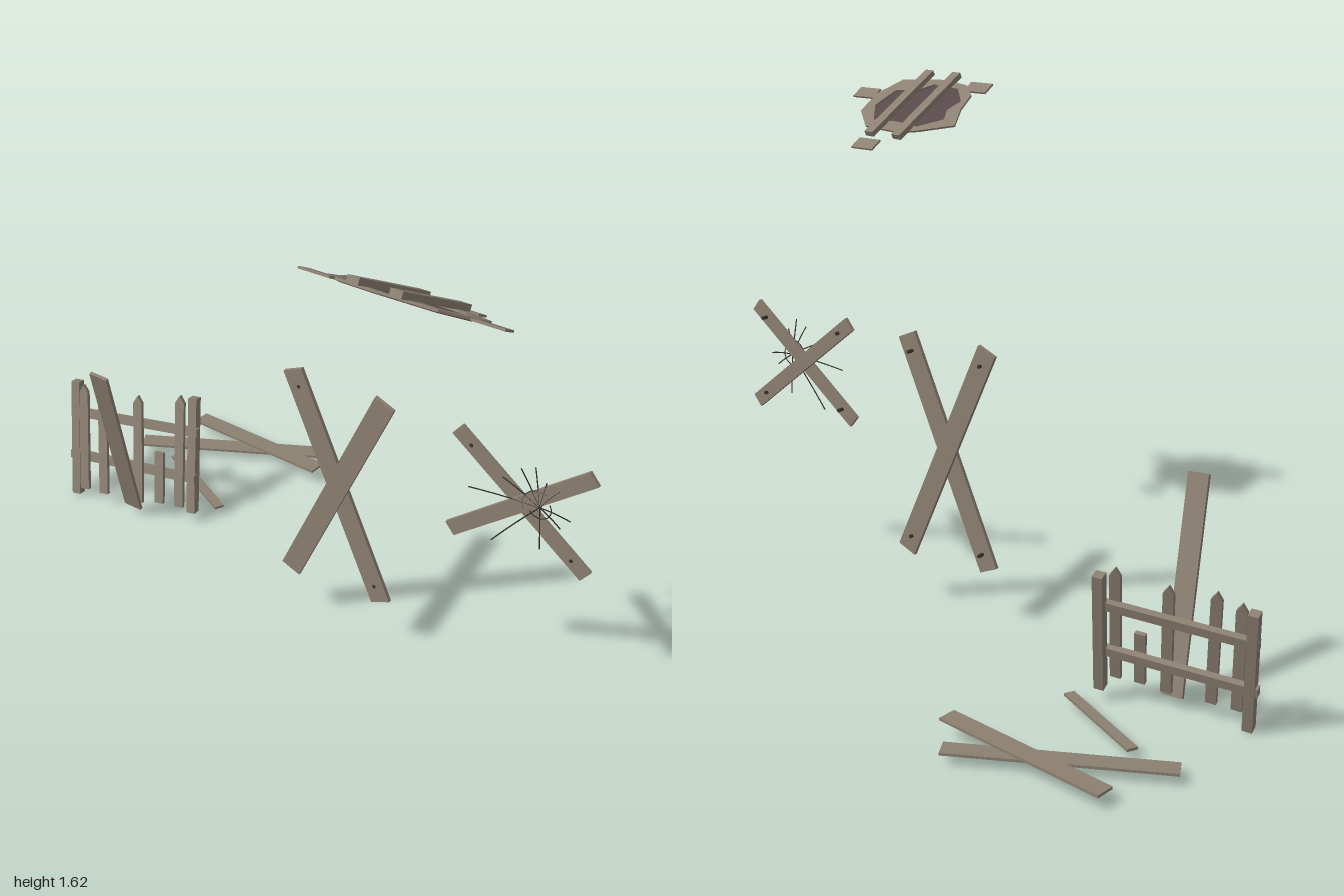
import * as THREE from 'three';

const mat = (name, color) => {
  const m = new THREE.MeshStandardMaterial({ color, side: THREE.DoubleSide });
  m.name = name;
  return m;
};

export function createModel() {
  const wood = mat('weathered wood', 0x8b8071);
  const hollow = mat('dark hollow', 0x584a4b);
  const iron = mat('dark iron', 0x38332f);
  const model = new THREE.Group();
  const V = (a) => new THREE.Vector3(...a);

  const group = (name) => {
    const g = new THREE.Group();
    g.name = name;
    model.add(g);
    return g;
  };

  // Board from point a to point b, its broad face turned towards "facing"; point > 0 cuts a pointed tip at b
  function board(parent, name, a, b, width, thick, facing, point = 0) {
    const p = V(a), q = V(b), len = p.distanceTo(q);
    const y = q.clone().sub(p).normalize();
    const x = y.clone().cross(V(facing)).normalize();
    const z = x.clone().cross(y);
    let geo;
    if (point) {
      const w = width / 2, h = len / 2;
      const s = new THREE.Shape([[-w, -h], [w, -h], [w, h - point], [0, h], [-w, h - point]]
        .map((c) => new THREE.Vector2(...c)));
      geo = new THREE.ExtrudeGeometry(s, { depth: thick, bevelEnabled: false }).translate(0, 0, -thick / 2);
    } else geo = new THREE.BoxGeometry(width, len, thick);
    geo.applyMatrix4(new THREE.Matrix4().makeBasis(x, y, z).setPosition(p.add(q).multiplyScalar(0.5)));
    const m = new THREE.Mesh(geo, wood);
    m.name = name;
    parent.add(m);
  }

  // Crossed boards with nails sticking out at the back
  function cross(name, x0, x1, y0, y1, width, inset) {
    const g = group(name);
    board(g, 'backBoard', [x0, y1, 0.084], [x1, y0, 0.084], width, 0.012, [0, 0, 1]);
    board(g, 'frontBoard', [x0, y0, 0.096], [x1, y1, 0.096], width, 0.012, [0, 0, 1]);
    for (const [tx, ty] of [[0, 0], [0, 1], [1, 0], [1, 1]]) {
      const fx = inset + tx * (1 - 2 * inset), fy = inset + ty * (1 - 2 * inset);
      const nail = new THREE.Mesh(new THREE.CylinderGeometry(0.006, 0.006, 0.022, 8).rotateX(Math.PI / 2), iron);
      nail.position.set(x0 + (x1 - x0) * fx, y0 + (y1 - y0) * fy, 0.08);
      nail.name = 'nail';
      g.add(nail);
    }
    return g;
  }
  cross('largeCross', 0.032, 0.346, 0.187, 0.897, 0.067, 0.07);
  const small = cross('smallCross', 0.57, 0.981, 0.565, 0.893, 0.046, 0.11);

  // Cobweb strands and two short arcs over the small cross
  const hub = new THREE.Vector3(0.835, 0.744, 0.101);
  const strand = (path, r) => {
    const m = new THREE.Mesh(new THREE.TubeGeometry(path, 12, r, 3), iron);
    m.name = 'webStrand';
    small.add(m);
  };
  for (const [x, y] of [[0.62, 0.728], [0.70, 0.58], [0.845, 0.61], [0.927, 0.735], [0.813, 0.867],
    [0.772, 0.848], [0.89, 0.82], [0.90, 0.70], [0.72, 0.80], [0.85, 0.83]]) {
    const end = new THREE.Vector3(x, y, 0.101);
    const mid = hub.clone().lerp(end, 0.5).add(new THREE.Vector3(0, 0.006, 0));
    strand(new THREE.QuadraticBezierCurve3(hub, mid, end), 0.0022);
  }
  for (const [r, from, to] of [[0.035, -2.6, 0.6], [0.052, 1.2, 3.6]]) {
    const pts = [];
    for (let i = 0; i <= 8; i++) {
      const t = from + (to - from) * i / 8;
      pts.push(new THREE.Vector3(hub.x + r * Math.cos(t), hub.y + r * Math.sin(t), 0.101));
    }
    strand(new THREE.CatmullRomCurve3(pts), 0.0018);
  }

  // Leaning fence: posts, rails behind, pointed pickets and a broken one
  const fence = group('fence');
  const n = [0.03, 0.048, 0.186];
  board(fence, 'leftPost', [-0.937, 0.01, -0.023], [-0.982, 0.402, -0.112], 0.03, 0.032, n);
  board(fence, 'rightPost', [-0.512, 0.045, -0.112], [-0.557, 0.434, -0.206], 0.03, 0.032, n);
  board(fence, 'upperRail', [-0.985, 0.297, -0.08], [-0.518, 0.33, -0.168], 0.028, 0.022, n);
  board(fence, 'lowerRail', [-0.975, 0.145, -0.05], [-0.505, 0.172, -0.128], 0.028, 0.022, n);
  for (const [bx, by, bz, tx, ty, tz, tip] of [
    [-0.893, 0.05, -0.012, -0.937, 0.41, -0.095, 0.025],
    [-0.818, 0.053, -0.022, -0.87, 0.432, -0.112, 0.025],
    [-0.688, 0.055, -0.045, -0.733, 0.42, -0.13, 0.025],
    [-0.614, 0.07, -0.065, -0.635, 0.243, -0.107, 0],
    [-0.543, 0.073, -0.08, -0.588, 0.45, -0.172, 0.025],
  ]) board(fence, 'picket', [bx, by, bz], [tx, ty, tz], 0.032, 0.014, n, tip);

  // Loose boards
  const loose = group('looseBoards');
  board(loose, 'leaningBoard', [-0.703, 0.04, -0.035], [-0.669, 0.653, 0.13], 0.066, 0.011, [0, -0.26, 0.96]);
  board(loose, 'longFloorBoard', [-0.92, 0.038, -0.366], [-0.355, 0.038, -0.65], 0.06, 0.008, [0, 1, 0]);
  board(loose, 'tiltedFloorBoard', [-0.83, 0.046, -0.588], [-0.286, 0.064, -0.535], 0.06, 0.008, [0, 1, 0]);
  board(loose, 'shortFloorBoard', [-0.766, 0.038, -0.352], [-0.457, 0.038, -0.19], 0.033, 0.008, [0, 1, 0]);

  // Sloping broken hole with a jagged rim, boarded over
  const roof = group('boardedHole');
  roof.position.set(0, 1.524, 0.5);
  roof.rotation.x = -0.513;
  const down = (z) => (z - 0.5) / 0.871;
  const outline = (pts) => pts.map(([x, z]) => new THREE.Vector2(x, down(z)));
  const rim = [[0.432, 0.447], [0.55, 0.408], [0.62, 0.392], [0.765, 0.404], [0.838, 0.468], [0.838, 0.553],
    [0.785, 0.628], [0.62, 0.644], [0.518, 0.628], [0.47, 0.587], [0.462, 0.52]];
  const inner = [[0.49, 0.468], [0.567, 0.425], [0.66, 0.437], [0.755, 0.435], [0.802, 0.5], [0.775, 0.575],
    [0.69, 0.585], [0.645, 0.618], [0.54, 0.608], [0.488, 0.555], [0.51, 0.51]];
  const plate = (name, shape, depth, y, m) => {
    const geo = new THREE.ExtrudeGeometry(shape, { depth, bevelEnabled: false }).rotateX(Math.PI / 2);
    const mesh = new THREE.Mesh(geo, m);
    mesh.position.y = y;
    mesh.name = name;
    roof.add(mesh);
  };
  const rimShape = new THREE.Shape(outline(rim));
  rimShape.holes.push(new THREE.Path(outline(inner)));
  plate('jaggedRim', rimShape, 0.006, -0.008, wood);
  const backing = rim.map(([x, z]) => [0.655 + (x - 0.655) * 0.93, 0.52 + (z - 0.52) * 0.9]);
  plate('hollow', new THREE.Shape(outline(backing)), 0.003, -0.0142, hollow);
  for (const [xa, xb] of [[0.599, 0.583], [0.711, 0.695]]) {
    board(roof, 'coverPlank', [xa, 0, down(0.362)], [xb, 0, down(0.664)], 0.033, 0.018, [0, 1, 0]);
  }
  for (const [x, z] of [[0.702, 0.329], [0.882, 0.553], [0.47, 0.624]]) {
    board(roof, 'looseShingle', [x - 0.043, -0.011, down(z)], [x + 0.043, -0.011, down(z)], 0.05, 0.006, [0, 1, 0]);
  }
  return model;
}
